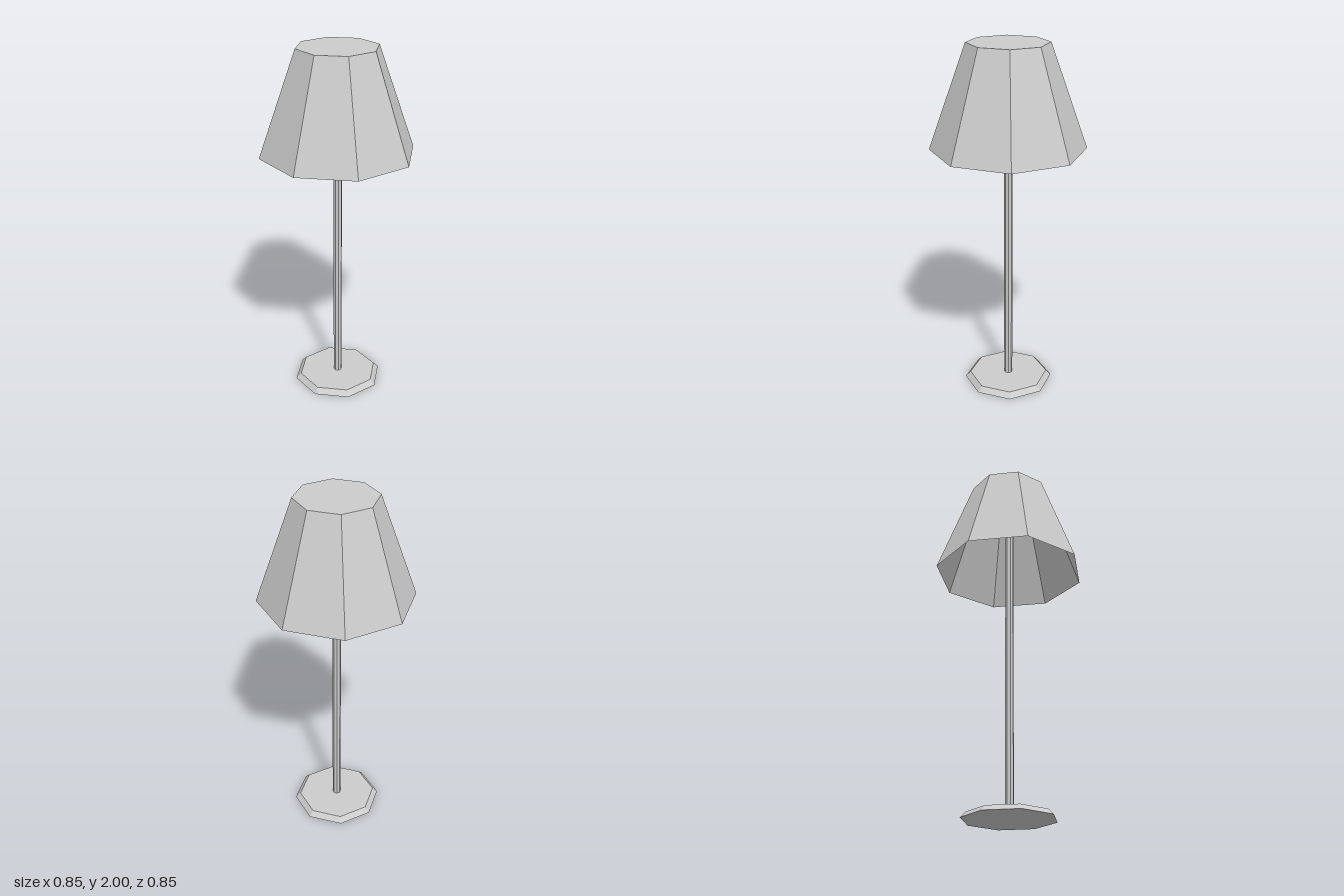
import * as THREE from 'three';

const SIDES = 8;

export function createModel() {
  const lamp = new THREE.Group();
  lamp.name = 'tableLamp';
  const solid = new THREE.MeshStandardMaterial({ color: 0xcccccc, flatShading: true });
  const thin = new THREE.MeshStandardMaterial({ color: 0xcccccc, flatShading: true, side: THREE.DoubleSide });

  // Tapered eight-sided column between two heights
  const addColumn = (name, topRadius, bottomRadius, y0, y1) => {
    const geometry = new THREE.CylinderGeometry(topRadius, bottomRadius, y1 - y0, SIDES);
    const mesh = new THREE.Mesh(geometry, solid);
    mesh.name = name;
    mesh.position.y = (y0 + y1) / 2;
    lamp.add(mesh);
  };

  addColumn('base', 0.227, 0.256, 0, 0.03);
  addColumn('pole', 0.024, 0.024, 0.03, 1.99);

  // Thin shade: closed on top, open underneath
  const profile = [[0.427, 1.43], [0.222, 2], [0, 2]].map(([r, y]) => new THREE.Vector2(r, y));
  const shade = new THREE.Mesh(new THREE.LatheGeometry(profile, SIDES), thin);
  shade.name = 'shade';
  lamp.add(shade);

  return lamp;
}
